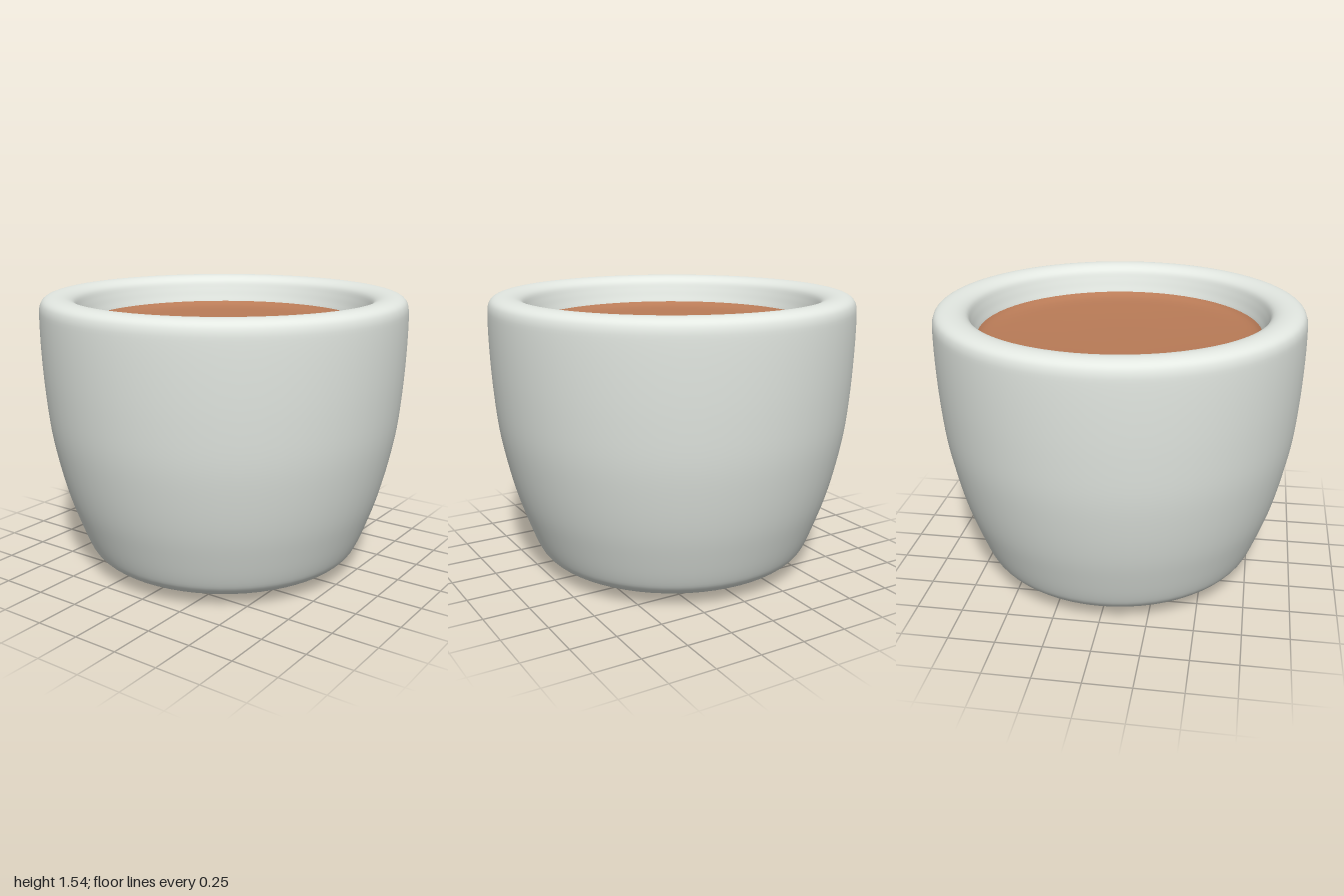
import * as THREE from 'three';

const SIDES = 64;

// Smoothly turned part from a few [radius, height] profile points
function turned(name, profile, color, steps) {
  const curve = new THREE.SplineCurve(profile.map(([r, y]) => new THREE.Vector2(r, y)));
  const points = curve.getPoints(steps);
  points.forEach((p) => { p.x = Math.max(p.x, 0); });
  const material = new THREE.MeshStandardMaterial({ color, side: THREE.DoubleSide });
  const mesh = new THREE.Mesh(new THREE.LatheGeometry(points, SIDES), material);
  mesh.name = name;
  return mesh;
}

export function createModel() {
  const group = new THREE.Group();
  group.name = 'plantPot';

  // Pot: slightly convex base, flared wall, rounded rim, tapered inner wall
  group.add(turned('pot', [
    [0, 0], [0.3, 0.01], [0.5, 0.027], [0.61, 0.043], [0.695, 0.069], [0.75, 0.11], [0.785, 0.17],
    [0.835, 0.3], [0.885, 0.45], [0.93, 0.63], [0.967, 0.83], [0.988, 1.05],
    [0.998, 1.25], [1, 1.42], [0.994, 1.49], [0.97, 1.525], [0.92, 1.54],
    [0.86, 1.535], [0.815, 1.51], [0.795, 1.465], [0.78, 1.42], [0.766, 1.38], [0.752, 1.32],
  ], 0xe4e9e3, 88));

  // Soil: gently dished surface curving up to meet the inner wall
  group.add(turned('soil', [
    [0.768, 1.388], [0.745, 1.372], [0.7, 1.36], [0.6, 1.352], [0.3, 1.342], [0, 1.34],
  ], 0xb97b57, 20));

  return group;
}
